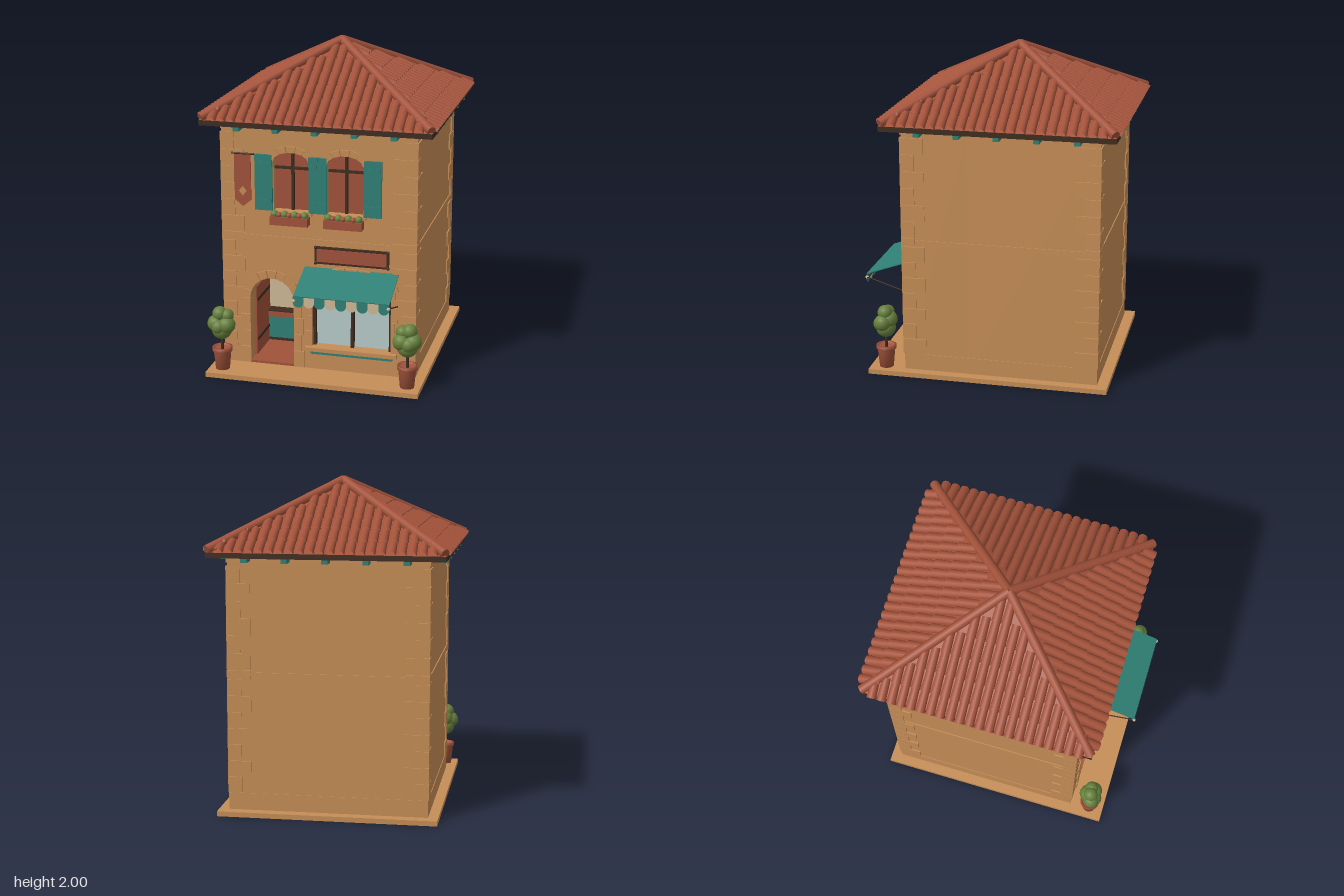
import * as THREE from 'three';
import { mergeGeometries } from 'three/addons/utils/BufferGeometryUtils.js';

const mat = (name, color, side = THREE.FrontSide) => {
  const m = new THREE.MeshStandardMaterial({ color, side });
  m.name = name;
  return m;
};

export function createModel() {
  const M = {
    stone: mat('warm sandstone', 0xc58d56),
    tile: mat('roof tile', 0xa3523a, THREE.DoubleSide),
    brick: mat('brick red', 0xa0523a),
    teal: mat('teal paint', 0x2f8076, THREE.DoubleSide),
    cream: mat('cream', 0xcdb995, THREE.DoubleSide),
    glass: mat('pale glass', 0xb6cbc8),
    dark: mat('dark wood', 0x3f2c20),
    leaf: mat('leaf green', 0x66803c),
  };
  const C = -0.075, F = 0.52, HALF = 0.595; // building centre z, front wall z, half width
  const root = new THREE.Group();
  root.name = 'townhouse';

  const add = (name, geo, m, x = 0, y = 0, z = 0, parent = root) => {
    const mesh = new THREE.Mesh(geo, m);
    mesh.name = name;
    mesh.position.set(x, y, z);
    parent.add(mesh);
    return mesh;
  };
  // box given by its limits
  const box = (name, m, x0, x1, y0, y1, z0, z1, parent = root) =>
    add(name, new THREE.BoxGeometry(x1 - x0, y1 - y0, z1 - z0), m,
      (x0 + x1) / 2, (y0 + y1) / 2, (z0 + z1) / 2, parent);
  const rod = (name, m, a, b, r, seg = 8, parent = root) => {
    const A = new THREE.Vector3(...a), B = new THREE.Vector3(...b);
    const d = B.clone().sub(A);
    const mesh = add(name, new THREE.CylinderGeometry(r, r, d.length(), seg), m, 0, 0, 0, parent);
    mesh.position.copy(A).add(B).multiplyScalar(0.5);
    mesh.quaternion.setFromUnitVectors(new THREE.Vector3(0, 1, 0), d.normalize());
    return mesh;
  };
  // arched opening outline
  const arched = (shape, o) => {
    shape.moveTo(o.x - o.w, o.y0);
    shape.lineTo(o.x + o.w, o.y0);
    shape.lineTo(o.x + o.w, o.ys);
    shape.absellipse(o.x, o.ys, o.w, o.ry, 0, Math.PI, false);
    shape.closePath();
    return shape;
  };
  // ring of wedge stones round an arch
  const voussoirs = (name, o, t, n) => {
    const parts = [];
    for (let i = 0; i < n; i++) {
      const a = (i + 0.04) / n * Math.PI, b = (i + 0.96) / n * Math.PI, s = new THREE.Shape();
      const p = (k, ang) => [o.x + (o.w + k) * Math.cos(ang), o.ys + (o.ry + k) * Math.sin(ang)];
      s.moveTo(...p(0, a));
      s.lineTo(...p(t, a));
      s.lineTo(...p(t, b));
      s.lineTo(...p(0, b));
      parts.push(new THREE.ExtrudeGeometry(s, { depth: 0.025, bevelEnabled: false }));
    }
    add(name, mergeGeometries(parts), M.stone, 0, 0, F - 0.013);
  };

  // Pavement slab and walls
  box('pavement', M.stone, -0.66, 0.66, 0, 0.03, -0.74, 0.74);
  const door = { x: -0.292, w: 0.138, y0: 0.04, ys: 0.46, ry: 0.138 };
  const shop = { x: 0.205, w: 0.245, y0: 0.18, ys: 0.58, ry: 0.075 };
  const upper = [-0.165, 0.165].map(x => ({ x, w: 0.11, y0: 1.03, ys: 1.335, ry: 0.06 }));
  const front = new THREE.Shape();
  front.moveTo(-HALF, 0.03);
  front.lineTo(HALF, 0.03);
  front.lineTo(HALF, 1.54);
  front.lineTo(-HALF, 1.54);
  front.closePath();
  for (const o of [door, shop, ...upper]) front.holes.push(arched(new THREE.Path(), o));
  add('frontWall', new THREE.ExtrudeGeometry(front, { depth: 0.4, bevelEnabled: false, curveSegments: 16 }),
    M.stone, 0, 0, F - 0.4);
  box('rearWalls', M.stone, -HALF, HALF, 0.03, 1.54, C - HALF, F - 0.4);
  box('plinth', M.stone, -HALF - 0.004, HALF + 0.004, 0.03, 0.132, C - HALF - 0.004, F - 0.41);
  for (const s of [-1, 1])
    box('plinthReturn', M.stone, s * HALF - 0.004, s * HALF + 0.004, 0.03, 0.132, F - 0.41, F);
  box('stringCourse', M.stone, -0.601, 0.601, 0.835, 0.868, C - 0.601, C + 0.601);
  box('cornice', M.stone, -0.601, 0.601, 1.518, 1.55, C - 0.601, C + 0.601);

  // Corner quoins, long and short faces alternating
  const quoins = (y0, y1, n, flip) => {
    const h = (y1 - y0) / n;
    for (let i = 0; i < n; i++) for (const sx of [-1, 1]) for (const sz of [-1, 1]) {
      const long = (i + flip) % 2, lx = long ? 0.145 : 0.085, lz = long ? 0.085 : 0.145;
      add('quoin', new THREE.BoxGeometry(lx, h - 0.004, lz), M.stone,
        sx * (0.603 - lx / 2), y0 + (i + 0.5) * h, C + sz * (0.603 - lz / 2));
    }
  };
  // The front opening never reaches the corners, so the blocks stay embedded
  quoins(0.132, 0.825, 7, 0);
  quoins(0.825, 0.88, 1, 1);
  quoins(0.88, 1.5, 6, 1);

  // Doorway: surround, open door, counter inside
  voussoirs('doorArch', door, 0.05, 9);
  for (let i = 0; i < 4; i++) {
    const y = 0.035 + i * 0.107, k = i % 2 ? 0.045 : 0.062;
    box('doorJamb', M.stone, door.x - door.w - k, door.x - door.w, y, y + 0.103, F - 0.01, F + 0.012);
    box('doorJamb', M.stone, door.x + door.w, door.x + door.w + k, y, y + 0.103, F - 0.01, F + 0.012);
  }
  const xl = door.x - door.w;
  box('hallFloor', M.brick, xl, door.x + door.w, 0.035, 0.05, F - 0.4, F + 0.01);
  add('hallBackWall', new THREE.ShapeGeometry(arched(new THREE.Shape(), door), 16), M.cream, 0, 0, F - 0.395);
  box('counter', M.teal, xl, door.x + door.w, 0.07, 0.215, F - 0.39, F - 0.33);
  box('counterFoot', M.dark, xl, door.x + door.w, 0.05, 0.07, F - 0.39, F - 0.335);
  box('counterTop', M.brick, xl, door.x + door.w, 0.215, 0.25, F - 0.39, F - 0.32);
  box('counterEdge', M.dark, xl, door.x + door.w, 0.25, 0.257, F - 0.39, F - 0.32);
  box('openDoor', M.brick, xl, xl + 0.012, 0.05, 0.5, F - 0.36, F - 0.08);
  for (const y of [0.14, 0.4]) box('doorStrap', M.dark, xl + 0.012, xl + 0.016, y, y + 0.02, F - 0.35, F - 0.09);

  // Shop window
  add('shopGlass', new THREE.ShapeGeometry(arched(new THREE.Shape(), shop), 16), M.glass, 0, 0, F - 0.05);
  for (const x of [-0.032, 0.205, 0.442]) box('shopMullion', M.dark, x - 0.009, x + 0.009, 0.18, 0.62, F - 0.055, F - 0.02);
  voussoirs('shopArch', shop, 0.045, 11);
  for (let i = 0; i < 4; i++) for (const s of [-1, 1]) {
    const k = i % 2 ? 0.025 : 0.04, x = shop.x + s * (shop.w + k / 2), y = 0.182 + i * 0.1;
    box('shopJamb', M.stone, x - k / 2, x + k / 2, y, y + 0.096, F - 0.01, F + 0.012);
  }
  box('shopSill', M.stone, -0.08, 0.49, 0.155, 0.18, F - 0.05, F + 0.035);
  box('shopPanel', M.teal, -0.05, 0.46, 0.132, 0.155, F - 0.01, F + 0.015);

  // Awning with scalloped valance
  const x0 = -0.085, x1 = 0.495, zf = 0.785, run = zf - F, drop = 0.095;
  const sheet = box('awningSheet', M.teal, x0, x1, -0.003, 0.003, -Math.hypot(run, drop) / 2, Math.hypot(run, drop) / 2);
  sheet.position.set((x0 + x1) / 2, 0.688 - drop / 2, F + run / 2);
  sheet.rotation.x = Math.atan2(drop, run);
  const sw = (x1 - x0) / 9;
  for (let i = 0; i < 9; i++) {
    const s = new THREE.Shape(), cx = x0 + (i + 0.5) * sw;
    s.moveTo(cx + sw / 2, 0.593);
    s.lineTo(cx - sw / 2, 0.593);
    s.lineTo(cx - sw / 2, 0.56);
    s.absellipse(cx, 0.56, sw / 2, 0.032, Math.PI, Math.PI * 2, false);
    add('valanceScallop', new THREE.ShapeGeometry(s, 8), i % 2 ? M.cream : M.teal, 0, 0, zf + 0.003);
  }
  rod('awningBar', M.dark, [x0 - 0.005, 0.568, zf - 0.005], [x1 + 0.005, 0.568, zf - 0.005], 0.005);
  for (const x of [x0 + 0.005, x1 - 0.005]) {
    rod('awningBrace', M.dark, [x, 0.485, F], [x, 0.568, zf - 0.005], 0.004);
    add('awningKnob', new THREE.SphereGeometry(0.011, 10, 8), M.cream, x, 0.568, zf);
  }

  // Hanging lantern
  rod('lanternBracket', M.dark, [-0.07, 0.603, F], [-0.07, 0.603, 0.592], 0.005);
  rod('lanternHook', M.dark, [-0.07, 0.603, 0.585], [-0.07, 0.555, 0.585], 0.003);
  add('lanternCap', new THREE.ConeGeometry(0.028, 0.025, 6), M.stone, -0.07, 0.55, 0.585);
  add('lanternBody', new THREE.CylinderGeometry(0.022, 0.016, 0.075, 6), M.stone, -0.07, 0.5, 0.585);

  // Sign board
  box('signFrame', M.dark, -0.02, 0.435, 0.718, 0.826, F, F + 0.012);
  box('signPanel', M.brick, -0.006, 0.421, 0.732, 0.812, F, F + 0.017);
  for (const x of [-0.015, 0.43]) for (const y of [0.723, 0.821])
    add('signStud', new THREE.SphereGeometry(0.01, 8, 6), M.dark, x, y, F + 0.012);

  // Upper windows with flower boxes
  for (const o of upper) {
    add('upperPane', new THREE.ShapeGeometry(arched(new THREE.Shape(), o), 16), M.brick, 0, 0, F - 0.05);
    box('upperMullion', M.dark, o.x - 0.008, o.x + 0.008, 1.03, 1.392, F - 0.05, F - 0.03);
    box('upperTransom', M.dark, o.x - 0.11, o.x + 0.11, 1.283, 1.297, F - 0.05, F - 0.03);
    voussoirs('upperArch', o, 0.038, 7);
    box('upperSill', M.stone, o.x - 0.13, o.x + 0.13, 1.012, 1.03, F - 0.05, F + 0.02);
    box('flowerBox', M.brick, o.x - 0.117, o.x + 0.117, 0.96, 1.012, F + 0.005, F + 0.072);
    for (let i = 0; i < 7; i++)
      add(i % 2 ? 'flower' : 'leafTuft', new THREE.SphereGeometry(i % 2 ? 0.017 : 0.024, 10, 8),
        i % 2 ? M.brick : M.leaf, o.x + (i - 3) * 0.031, 1.022, F + (i % 2 ? 0.055 : 0.043));
  }
  for (const [x, w] of [[-0.334, 0.108], [-0.028, 0.055], [0.028, 0.055], [0.334, 0.108]]) {
    box('shutter', M.teal, x - w / 2, x + w / 2, 1.03, 1.375, F, F + 0.014);
    for (const y of [1.08, 1.31]) box('shutterBatten', M.teal, x - w / 2 + 0.006, x + w / 2 - 0.006, y, y + 0.02, F + 0.014, F + 0.018);
  }

  // Wall banner
  rod('bannerPole', M.dark, [-0.53, 1.375, F + 0.018], [-0.39, 1.375, F + 0.018], 0.006);
  const plate = (name, pts, m, z, depth) => add(name, new THREE.ExtrudeGeometry(
    new THREE.Shape(pts.map(p => new THREE.Vector2(...p))), { depth, bevelEnabled: false }), m, 0, 0, z);
  plate('banner', [[-0.512, 1.375], [-0.512, 1.09], [-0.461, 1.048], [-0.41, 1.09], [-0.41, 1.375]], M.brick, F + 0.014, 0.006);
  plate('bannerDiamond', [[-0.461, 1.175], [-0.485, 1.145], [-0.461, 1.115], [-0.437, 1.145]], M.stone, F + 0.02, 0.003);

  // Roof: eaves, brackets, tiled slopes and hips
  const roof = new THREE.Group();
  roof.name = 'roof';
  roof.position.z = C;
  root.add(roof);
  box('eaves', M.dark, -0.7, 0.7, 1.553, 1.585, -0.7, 0.7, roof);
  const pyramid = new THREE.ConeGeometry(0.7 * Math.SQRT2, 0.375, 4, 1).rotateY(Math.PI / 4).toNonIndexed();
  pyramid.computeVertexNormals();
  add('roofDeck', pyramid, M.tile, 0, 1.585 + 0.1875, 0, roof);
  const slope = Math.atan2(0.375, 0.7), pitch = 0.0592, step = 0.11, tiles = [];
  const oneTile = new THREE.CylinderGeometry(0.024, 0.029, 0.14, 8, 1, true, -Math.PI / 2, Math.PI)
    .rotateX(slope - 0.07 - Math.PI / 2);
  for (let row = 0; row < 6; row++) for (let i = 0; i < 24; i++) {
    const u = (i - 11.5) * pitch, lower = 0.708 - row * step, mid = lower - step / 2;
    if (Math.abs(u) > lower - step + 0.03) continue;
    tiles.push(oneTile.clone().translate(u, 1.585 + (0.7 - mid) * Math.tan(slope) + 0.004, mid));
  }
  const slopeTiles = mergeGeometries(tiles);
  for (let k = 0; k < 4; k++) {
    const side = new THREE.Group();
    side.name = 'roofSide';
    side.rotation.y = k * Math.PI / 2;
    roof.add(side);
    add('slopeTiles', slopeTiles, M.tile, 0, 0, 0, side);
    for (let j = -2; j <= 2; j++)
      box('eaveBracket', M.teal, j * 0.237 - 0.018, j * 0.237 + 0.018, 1.527, 1.555, 0.59, 0.69, side);
    rod('hipTile', M.tile, [0.692, 1.6, 0.692], [0, 1.972, 0], 0.028, 12, side);
  }

  // Potted shrubs either side of the front
  const potProfile = [[0, 0], [0.043, 0], [0.054, 0.115], [0.062, 0.118], [0.062, 0.14], [0.05, 0.14], [0.047, 0.125], [0, 0.125]]
    .map(p => new THREE.Vector2(...p));
  const blobs = [[0, 0.285, 0, 0.062], [0.035, 0.325, 0.01, 0.052], [-0.035, 0.32, 0.012, 0.054], [0, 0.34, -0.02, 0.055],
    [0.012, 0.385, 0, 0.046], [-0.032, 0.375, -0.005, 0.042], [0.012, 0.31, 0.03, 0.045]];
  for (const s of [-1, 1]) {
    const plant = new THREE.Group();
    plant.name = 'pottedShrub';
    plant.position.set(s * 0.578, 0, 0.645);
    root.add(plant);
    add('pot', new THREE.LatheGeometry(potProfile, 20), M.brick, 0, 0.03, 0, plant);
    rod('trunk', M.dark, [0, 0.15, 0], [0, 0.27, 0], 0.009, 8, plant);
    for (const [x, y, z, r] of blobs)
      add('foliage', new THREE.SphereGeometry(r, 14, 10), M.leaf, x * s, y, z, plant);
  }
  return root;
}
